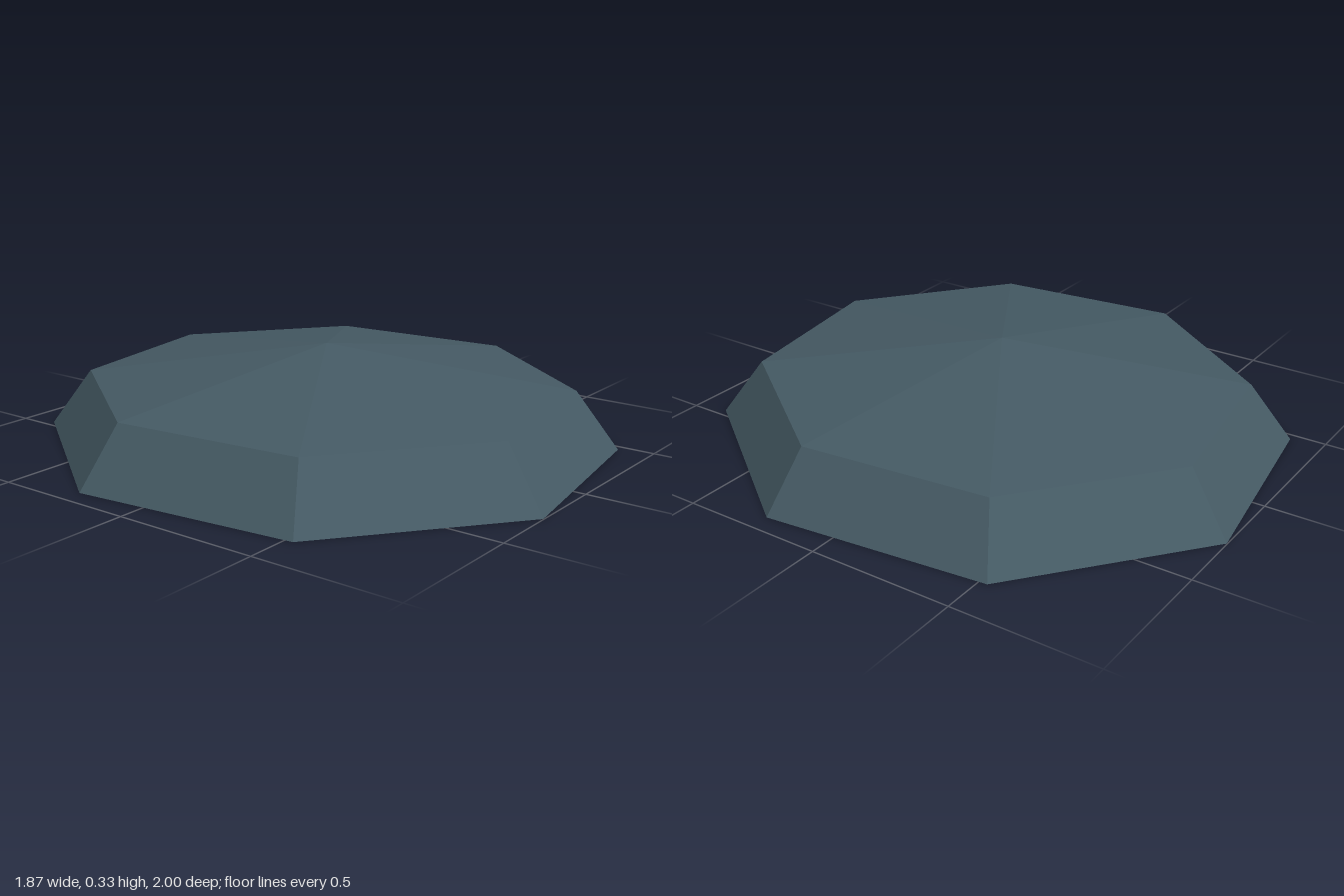
import * as THREE from 'three';

// Half of the octagonal base outline as [x, z]; the other half is its half-turn copy
const half = [[0.267, -0.998], [0.85, -0.528], [0.933, 0.248], [0.468, 0.884]];
const outline = [...half, ...half.map(([x, z]) => [-x, -z])];

const RIM_SCALE = 0.852, RIM_Y = 0.2, APEX_Y = 0.333;

function ring(scale, y) {
  return outline.map(([x, z]) => new THREE.Vector3(x * scale, y, z * scale));
}

function facetedMesh(name, points, material) {
  const geometry = new THREE.BufferGeometry().setFromPoints(points);
  geometry.computeVertexNormals();
  const mesh = new THREE.Mesh(geometry, material);
  mesh.name = name;
  return mesh;
}

export function createModel() {
  const group = new THREE.Group();
  group.name = 'octagonalCover';

  const slate = new THREE.MeshStandardMaterial({
    color: 0x455a64, flatShading: true, side: THREE.DoubleSide,
  });
  slate.name = 'slate';

  const base = ring(1, 0);
  const rim = ring(RIM_SCALE, RIM_Y);
  const apex = new THREE.Vector3(0, APEX_Y, 0);

  // Sloping side panels and shallow roof facets; the underside stays open
  const sides = [], roof = [];
  for (let i = 0; i < 8; i++) {
    const j = (i + 1) % 8;
    sides.push(base[i], rim[i], rim[j], base[i], rim[j], base[j]);
    roof.push(apex, rim[j], rim[i]);
  }
  group.add(facetedMesh('slopingSides', sides, slate));
  group.add(facetedMesh('shallowRoof', roof, slate));
  return group;
}
